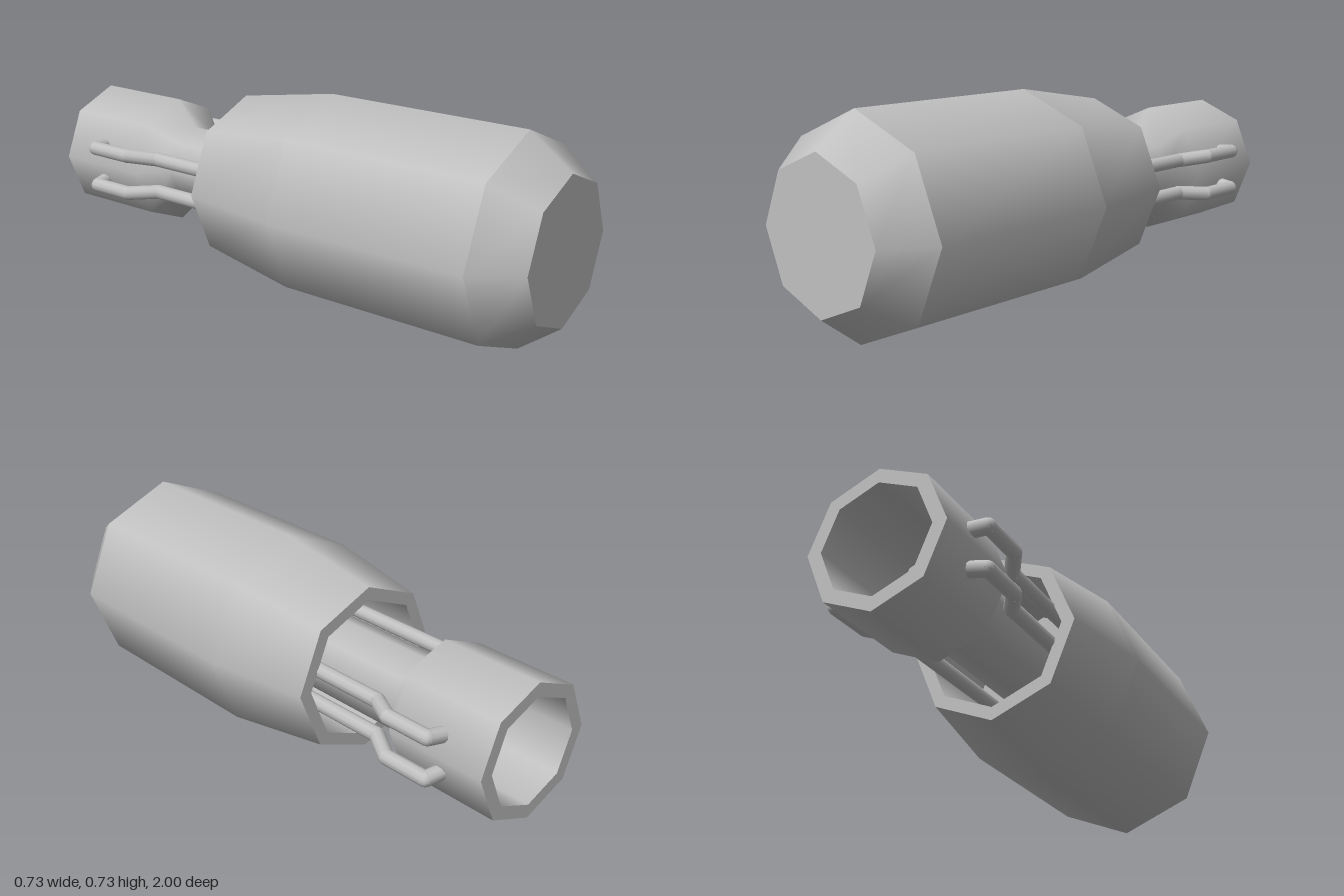
import * as THREE from 'three';

const CY = 0.366; // height of the long axis

export function createModel() {
  const grey = new THREE.MeshStandardMaterial({ color: 0xc0c0c0 });
  grey.name = 'plain grey';
  const model = new THREE.Group();
  model.name = 'canister';

  // Eight-sided skin around the z axis; points are [radius, z], smooth within one skin
  function skin(parent, name, points) {
    const geo = new THREE.LatheGeometry(points.map(([r, z]) => new THREE.Vector2(r, z)), 8);
    geo.rotateX(Math.PI / 2);
    const mesh = new THREE.Mesh(geo, grey);
    mesh.name = name;
    mesh.position.y = CY;
    parent.add(mesh);
  }

  // Main body: open sleeve at the back, closed nose at the front
  const body = new THREE.Group();
  body.name = 'body';
  model.add(body);
  skin(body, 'bodyRim', [[0.255, -0.29], [0.302, -0.29]]);
  skin(body, 'bodyTaper', [[0.302, -0.29], [0.366, 0.1]]);
  skin(body, 'bodyBarrel', [[0.366, 0.1], [0.366, 0.85]]);
  skin(body, 'noseBevel', [[0.366, 0.85], [0.254, 1]]);
  skin(body, 'noseFace', [[0.254, 1], [0, 1]]);
  skin(body, 'sleeveInside', [[0.255, 0.1], [0.255, -0.29]]);
  skin(body, 'sleeveFloor', [[0, 0.1], [0.255, 0.1]].map(([r]) => [r, 0.1]));
  body.children.at(-1).material = grey;

  // Neck flaring into the hollow tail
  const tail = new THREE.Group();
  tail.name = 'tail';
  model.add(tail);
  skin(tail, 'tailOutside', [[0.238, -1], [0.238, -0.63], [0.142, -0.545], [0.142, 0.1]]);
  skin(tail, 'tailRim', [[0.19, -1], [0.238, -1]]);
  skin(tail, 'tailInside', [[0.19, -0.61], [0.19, -1]]);
  skin(tail, 'tailFloor', [[0, -0.61], [0.19, -0.61]]);

  // Four bent rods, two on each side, hooked into the tail
  const R = 0.026;
  const up = new THREE.Vector3(0, 1, 0);
  for (const sx of [1, -1]) for (const sy of [1, -1]) {
    const rod = new THREE.Group();
    rod.name = (sx > 0 ? 'left' : 'right') + (sy > 0 ? 'Upper' : 'Lower') + 'Rod';
    const path = [[0.205, 0.062, 0.1], [0.205, 0.062, -0.545], [0.264, 0.072, -0.645],
      [0.264, 0.072, -0.81], [0.208, 0.066, -0.822]]
      .map(([x, y, z]) => new THREE.Vector3(sx * x, CY + sy * y, z));
    for (let i = 0; i < path.length - 1; i++) {
      const dir = path[i + 1].clone().sub(path[i]);
      const bar = new THREE.Mesh(new THREE.CylinderGeometry(R, R, dir.length(), 10), grey);
      bar.name = 'rodSection';
      bar.position.copy(path[i]).addScaledVector(dir, 0.5);
      bar.quaternion.setFromUnitVectors(up, dir.normalize());
      rod.add(bar);
      if (i > 0) {
        const elbow = new THREE.Mesh(new THREE.SphereGeometry(R, 10, 8), grey);
        elbow.name = 'rodElbow';
        elbow.position.copy(path[i]);
        rod.add(elbow);
      }
    }
    model.add(rod);
  }
  return model;
}
